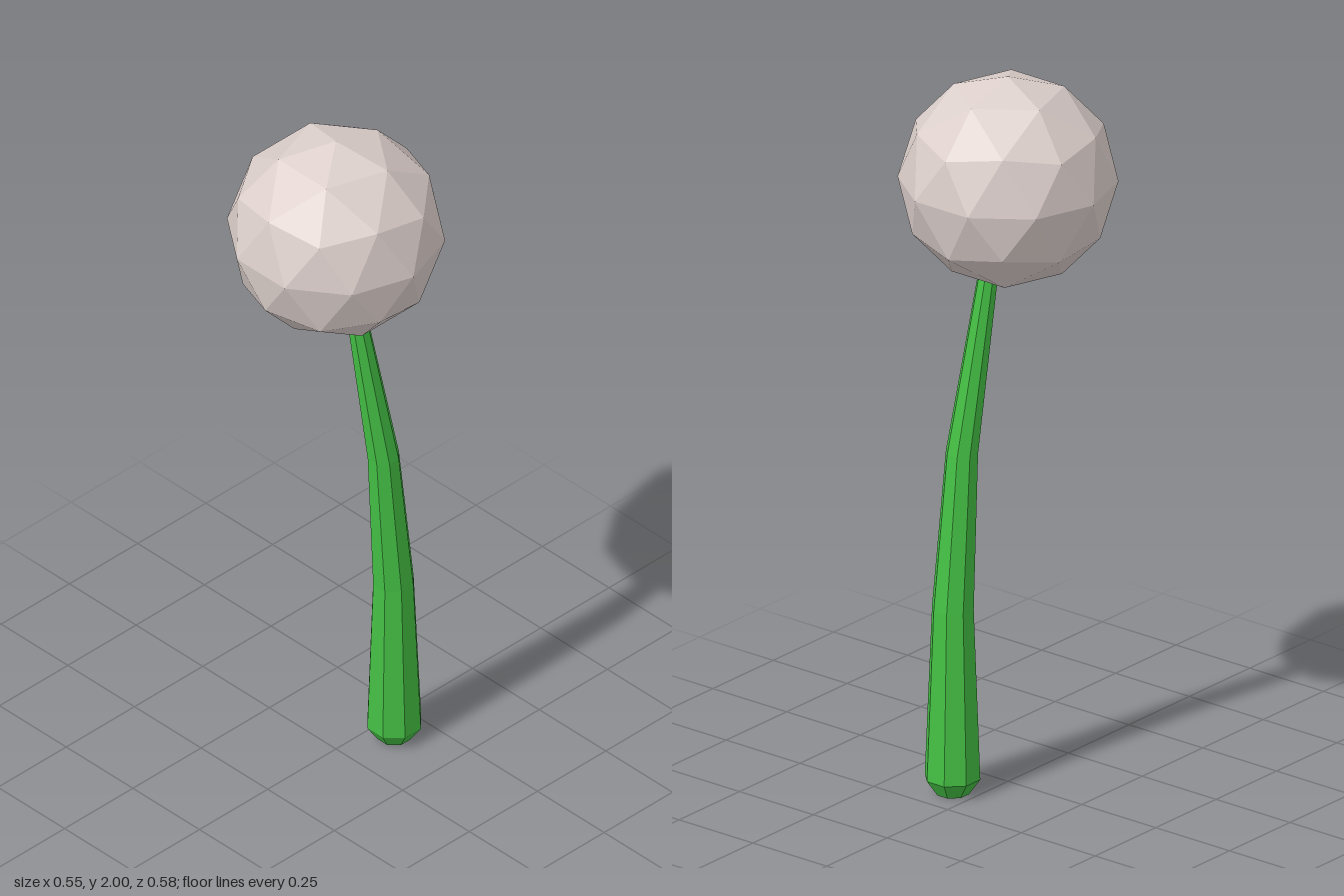
import * as THREE from 'three';

// Skins a stack of horizontal octagons [x, y, z, radius] into a closed, faceted tube.
function loft(rings, sides) {
  const pos = [], index = [];
  for (const [x, y, z, r] of rings) {
    for (let i = 0; i < sides; i++) {
      const a = ((i + 0.5) / sides) * Math.PI * 2;
      pos.push(x + r * Math.cos(a), y, z + r * Math.sin(a));
    }
  }
  for (let j = 0; j < rings.length - 1; j++) {
    for (let i = 0; i < sides; i++) {
      const a = j * sides + i, b = j * sides + (i + 1) % sides;
      index.push(a, a + sides, b, b, a + sides, b + sides);
    }
  }
  // end caps
  const top = (rings.length - 1) * sides;
  for (let i = 1; i < sides - 1; i++) {
    index.push(0, i, i + 1, top, top + i + 1, top + i);
  }
  const geo = new THREE.BufferGeometry();
  geo.setAttribute('position', new THREE.Float32BufferAttribute(pos, 3));
  geo.setIndex(index);
  const flat = geo.toNonIndexed();
  flat.computeVertexNormals();
  return flat;
}

export function createModel() {
  const group = new THREE.Group();

  // faceted ball, turned so that one vertex points straight up
  const ballGeo = new THREE.IcosahedronGeometry(0.29, 1);
  ballGeo.rotateZ(-Math.atan(2 / (1 + Math.sqrt(5))));
  const ball = new THREE.Mesh(
    ballGeo,
    new THREE.MeshStandardMaterial({ color: 0xdccfcb, flatShading: true })
  );
  ball.name = 'ball';
  ball.position.y = 1.71;
  group.add(ball);

  // curved, tapering stem with a bevelled foot; its tip is sunk into the ball
  const stem = new THREE.Mesh(
    loft([
      [0.15, 0, 0.065, 0.045],
      [0.15, 0.045, 0.065, 0.076],
      [0.14, 0.52, 0.072, 0.057],
      [0.105, 0.95, 0.07, 0.044],
      [0.035, 1.45, 0.037, 0.027],
      [0.025, 1.52, 0.03, 0.024],
    ], 8),
    new THREE.MeshStandardMaterial({ color: 0x44c044, flatShading: true })
  );
  stem.name = 'stem';
  group.add(stem);

  return group;
}
